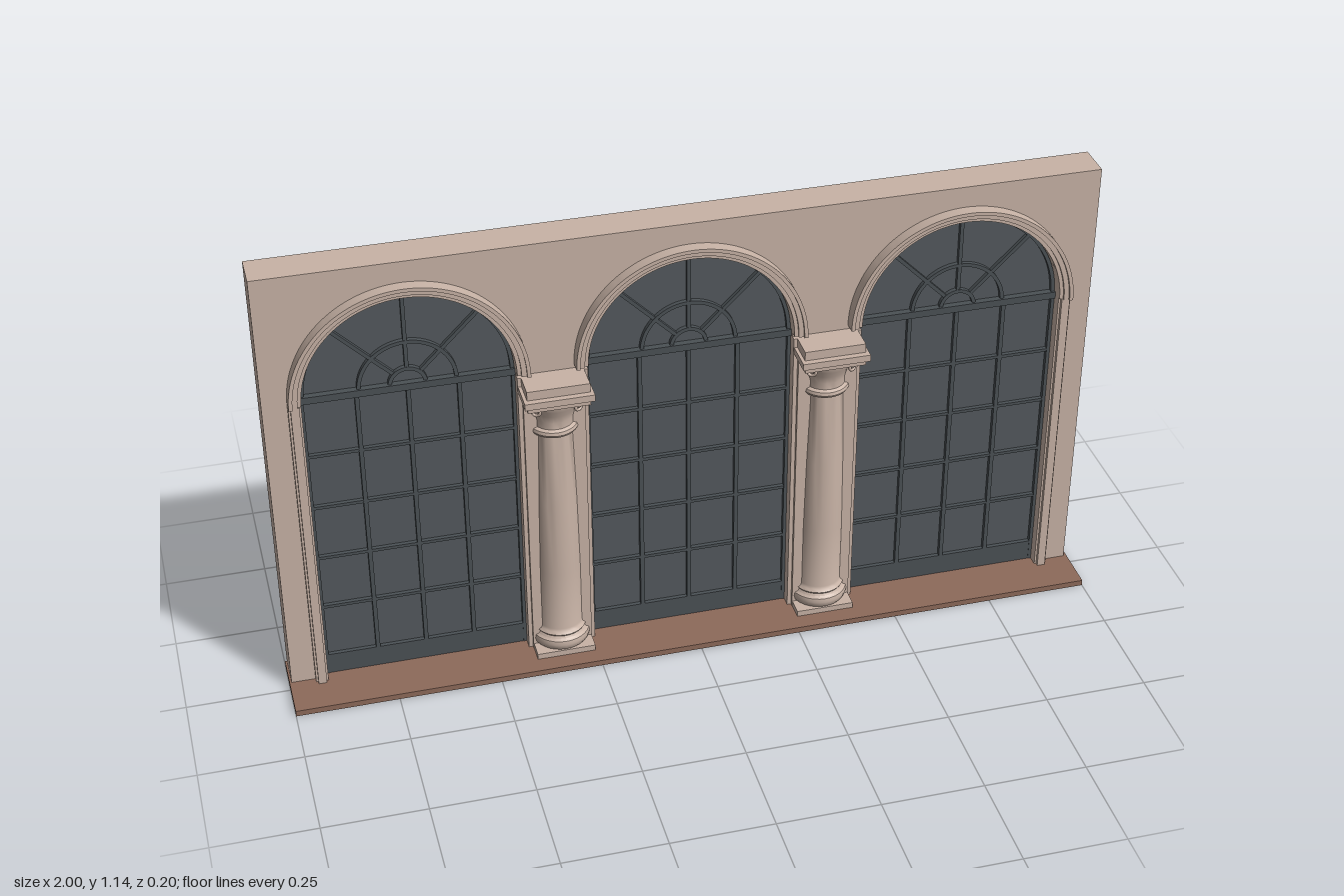
import * as THREE from 'three';
import { toCreasedNormals } from 'three/addons/utils/BufferGeometryUtils.js';

const stone = new THREE.MeshStandardMaterial({ color: 0xc8b3a6 });
stone.name = 'stone';
const terracotta = new THREE.MeshStandardMaterial({ color: 0x8d6a5a });
terracotta.name = 'terracotta';
const glass = new THREE.MeshStandardMaterial({ color: 0x53595d });
glass.name = 'darkGlass';
const iron = new THREE.MeshStandardMaterial({ color: 0x4b5155 });
iron.name = 'windowFrame';

const BAYS = [-0.66, 0, 0.66];
const R = 0.247; // opening radius
const SPRING = 0.81; // height where the arches start
const FLOOR = 0.015;

function add(parent, name, geometry, material) {
  const mesh = new THREE.Mesh(geometry, material);
  mesh.name = name;
  parent.add(mesh);
  return mesh;
}

// Box given by its limits on each axis
function box(parent, name, material, x0, x1, y0, y1, z0, z1) {
  const mesh = add(parent, name, new THREE.BoxGeometry(x1 - x0, y1 - y0, z1 - z0), material);
  mesh.position.set((x0 + x1) / 2, (y0 + y1) / 2, (z0 + z1) / 2);
  return mesh;
}

function extrude(shape, z0, z1) {
  const g = new THREE.ExtrudeGeometry(shape, { depth: z1 - z0, bevelEnabled: false, curveSegments: 40 });
  g.translate(0, 0, z0);
  return toCreasedNormals(g, 0.5);
}

// Upper half of a ring
function halfRing(inner, outer, z0, z1) {
  const s = new THREE.Shape();
  s.absarc(0, 0, outer, 0, Math.PI, false);
  s.absarc(0, 0, inner, Math.PI, 0, true);
  s.closePath();
  return extrude(s, z0, z1);
}

// Wall with three arched openings reaching the floor
function makeWall(parent) {
  const s = new THREE.Shape();
  s.moveTo(-0.995, 0.001);
  for (const c of BAYS) {
    s.lineTo(c - R, 0.001);
    s.lineTo(c - R, SPRING);
    s.absarc(c, SPRING, R, Math.PI, 0, true);
    s.lineTo(c + R, 0.001);
  }
  s.lineTo(0.992, 0.001);
  s.lineTo(0.992, 1.14);
  s.lineTo(-0.995, 1.14);
  s.closePath();
  add(parent, 'wall', extrude(s, -0.1, -0.01), stone);
}

function makeWindow(x) {
  const g = new THREE.Group();
  g.name = 'archedWindow';
  g.position.x = x;
  const zf = -0.034;

  // Panes
  box(g, 'lowerGlass', glass, -R, R, 0.025, 0.797, -0.06, zf);
  const fan = new THREE.Shape();
  fan.absarc(0, 0, R, 0, Math.PI, false);
  fan.closePath();
  add(g, 'fanlightGlass', extrude(fan, -0.06, zf), glass).position.y = SPRING - 0.01;

  // Rails and glazing bars
  box(g, 'bottomRail', iron, -R, R, FLOOR, 0.07, -0.055, -0.024);
  box(g, 'transom', iron, -R, R, 0.797, 0.815, -0.058, -0.018);
  for (const dx of [-0.118, 0, 0.118]) {
    box(g, 'verticalBar', iron, dx - 0.005, dx + 0.005, 0.07, 0.797, zf, -0.023);
  }
  for (let i = 1; i < 5; i++) {
    const y = 0.07 + i * 0.1445;
    box(g, 'horizontalBar', iron, -R, R, y - 0.004, y + 0.004, zf, -0.024);
  }
  for (const side of [-1, 1]) {
    const e = side * (R - 0.004);
    box(g, 'sideFrame', iron, e - 0.004, e + 0.004, FLOOR, SPRING, zf, -0.023);
  }

  // Fanlight rings and rays
  for (const r of [0.046, 0.117, R - 0.001]) {
    add(g, 'fanRing', halfRing(r - 0.009, r, zf, -0.023), iron).position.y = SPRING;
  }
  for (const a of [45, 90, 135]) {
    const t = THREE.MathUtils.degToRad(a);
    const ray = add(g, 'fanRay', new THREE.BoxGeometry(0.2, 0.009, 0.01), iron);
    ray.position.set(Math.cos(t) * 0.144, SPRING + Math.sin(t) * 0.144, -0.029);
    ray.rotation.z = t;
  }
  return g;
}

// Stepped moulding over an opening
function makeArchMoulding(x) {
  const g = new THREE.Group();
  g.name = 'archMoulding';
  g.position.set(x, SPRING, 0);
  add(g, 'innerBand', halfRing(R, 0.256, -0.01, 0.008), stone);
  add(g, 'middleBand', halfRing(0.256, 0.268, -0.01, 0.014), stone);
  add(g, 'outerBand', halfRing(0.268, 0.277, -0.01, 0.02), stone);
  return g;
}

function makeColumn(x) {
  const g = new THREE.Group();
  g.name = 'engagedColumn';
  g.position.x = x;
  const cz = -0.014;

  // Pilaster backing and plinth
  box(g, 'pilasterBack', stone, -0.083, 0.083, FLOOR, 0.8, -0.012, 0.003);
  box(g, 'pilasterFace', stone, -0.073, 0.073, FLOOR, 0.8, -0.012, 0.012);
  box(g, 'plinth', stone, -0.072, 0.072, FLOOR, 0.03, -0.012, 0.056);

  // Base mouldings, tapering shaft and bell capital
  const profile = [
    [0.066, 0.03], [0.07, 0.036], [0.073, 0.047], [0.071, 0.057], [0.064, 0.061],
    [0.061, 0.067], [0.064, 0.072], [0.058, 0.078], [0.056, 0.085], [0.056, 0.25],
    [0.053, 0.45], [0.048, 0.645], [0.056, 0.648], [0.06, 0.655], [0.058, 0.663],
    [0.05, 0.667], [0.05, 0.685], [0.055, 0.705], [0.064, 0.722], [0.068, 0.735], [0.07, 0.747],
  ].map(([r, y]) => new THREE.Vector2(r, y));
  const lathe = toCreasedNormals(new THREE.LatheGeometry(profile, 32), 0.6);
  add(g, 'shaft', lathe, stone).position.z = cz;

  // Corner scrolls of the capital
  for (const side of [-1, 1]) {
    const scroll = new THREE.Group();
    scroll.name = 'scroll';
    scroll.position.set(side * 0.05, 0.73, 0.044);
    scroll.rotation.y = side * 0.6;
    add(scroll, 'scrollRing', new THREE.TorusGeometry(0.01, 0.004, 8, 18), stone);
    add(scroll, 'scrollEye', new THREE.SphereGeometry(0.005, 10, 8), stone);
    g.add(scroll);
  }

  // Stacked slabs on the capital
  box(g, 'abacusLower', stone, -0.074, 0.074, 0.745, 0.76, -0.012, 0.07);
  box(g, 'abacusMiddle', stone, -0.082, 0.082, 0.76, 0.777, -0.012, 0.08);
  box(g, 'abacusTop', stone, -0.074, 0.074, 0.777, 0.8, -0.012, 0.065);
  return g;
}

export function createModel() {
  const model = new THREE.Group();
  model.name = 'arcade';

  box(model, 'floorSlab', terracotta, -1, 1, 0, FLOOR, -0.095, 0.1);
  makeWall(model);
  for (const x of BAYS) model.add(makeWindow(x), makeArchMoulding(x));
  for (const side of [-1, 1]) {
    model.add(makeColumn(side * 0.33));
    // Slim strips at the outer jambs
    const e = side * 0.922;
    box(model, 'outerStripBack', stone, e - 0.015, e + 0.015, FLOOR, SPRING, -0.012, 0.003);
    box(model, 'outerStripFace', stone, e - 0.01, e + 0.01, FLOOR, SPRING, -0.012, 0.012);
  }
  return model;
}
